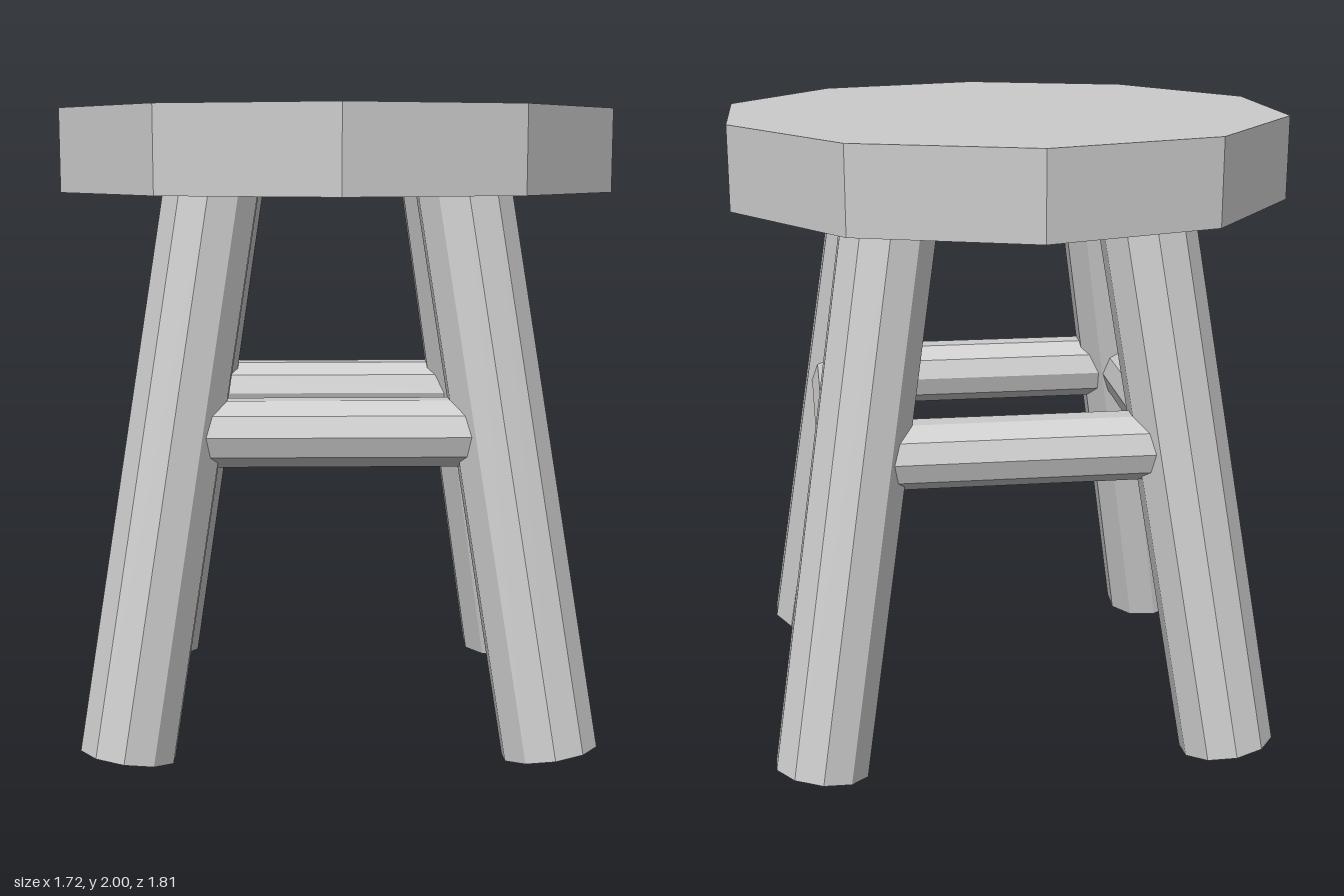
import * as THREE from 'three';

const SIDES = 10;

export function createModel() {
  const model = new THREE.Group();
  model.name = 'stool';
  const material = new THREE.MeshStandardMaterial({ color: 0xcccccc, flatShading: true });

  const addRod = (name, radius, length) => {
    const mesh = new THREE.Mesh(new THREE.CylinderGeometry(radius, radius, length, SIDES), material);
    mesh.name = name;
    model.add(mesh);
    return mesh;
  };

  // Thick ten-sided seat with a corner facing the front
  addRod('seat', 0.905, 0.26).position.y = 1.87;

  // Four splayed legs, their tops sunk into the seat
  const up = new THREE.Vector3(0, 1, 0);
  for (const sx of [1, -1]) {
    for (const sz of [1, -1]) {
      const foot = new THREE.Vector3(0.65 * sx, 0.03, 0.598 * sz);
      const top = new THREE.Vector3(0.379 * sx, 1.8, 0.362 * sz);
      const axis = top.clone().sub(foot);
      const leg = addRod(`${sz > 0 ? 'front' : 'back'}${sx > 0 ? 'Left' : 'Right'}Leg`, 0.15, axis.length());
      leg.position.addVectors(foot, top).multiplyScalar(0.5);
      leg.quaternion.setFromUnitVectors(up, axis.normalize());
    }
  }

  // Rungs joining neighbouring legs, their ends buried in the legs
  for (const s of [1, -1]) {
    const cross = addRod(s > 0 ? 'frontRung' : 'backRung', 0.108, 1.0);
    cross.position.set(0, 1.012, 0.466 * s);
    cross.rotation.z = Math.PI / 2;

    const side = addRod(s > 0 ? 'leftRung' : 'rightRung', 0.108, 0.94);
    side.position.set(0.52 * s, 1.012, 0);
    side.rotation.set(Math.PI / 2, Math.PI / 2, 0, 'XYZ'); // turned so a corner faces outward
  }

  return model;
}
